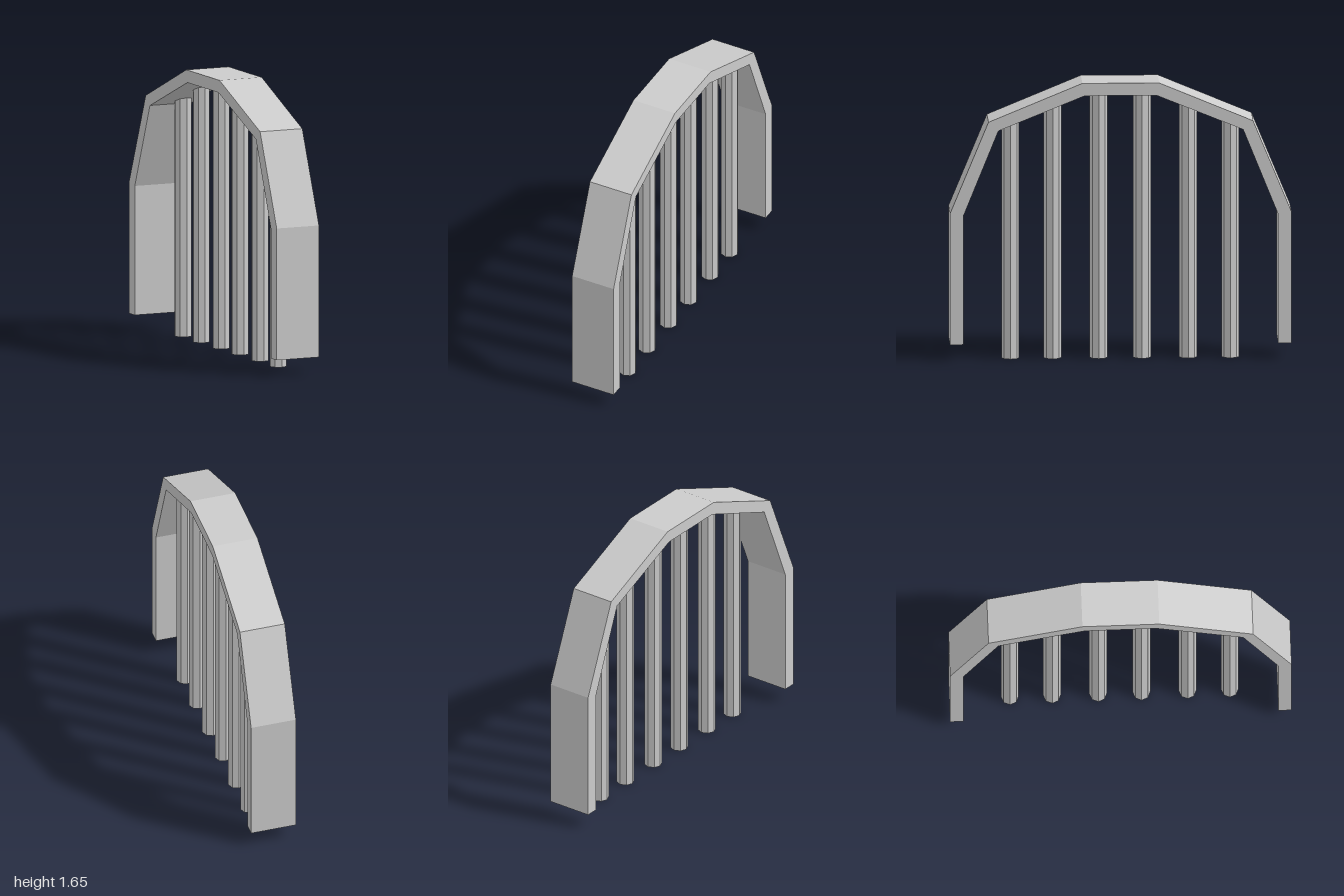
import * as THREE from 'three';

const WIDTH = 0.274;
const BAR_X = 0.043;
const BAR_RADIUS = 0.052;

// Half profiles of the arch as [z, y], from foot to crown
const OUTER = [[1, 0.096], [1, 0.876], [0.775, 1.418], [0.225, 1.646]];
const INNER = [[0.922, 0.096], [0.922, 0.861], [0.717, 1.366], [0.21, 1.572]];

const mirrored = (half) => [...half, ...half.map(([z, y]) => [-z, y]).reverse()];

// Height of the arch's underside at a given z
function undersideAt(z) {
  const a = Math.abs(z);
  const [z0, y0] = INNER[2];
  const [z1, y1] = INNER[3];
  return a <= z1 ? y1 : y1 + ((a - z1) / (z0 - z1)) * (y0 - y1);
}

export function createModel() {
  const model = new THREE.Group();
  model.name = 'archedGrille';
  const frameMaterial = new THREE.MeshStandardMaterial({ color: 0xcccccc, flatShading: true });
  const barMaterial = new THREE.MeshStandardMaterial({
    color: 0xcccccc, flatShading: true, side: THREE.DoubleSide,
  });

  // Faceted arch: profile drawn in (-z, y), extruded and turned to run along x
  const outline = [...mirrored(OUTER), ...mirrored(INNER).reverse()];
  const shape = new THREE.Shape(outline.map(([z, y]) => new THREE.Vector2(-z, y)));
  const archGeometry = new THREE.ExtrudeGeometry(shape, { depth: WIDTH, bevelEnabled: false });
  archGeometry.translate(0, 0, -WIDTH / 2).rotateY(Math.PI / 2);
  const arch = new THREE.Mesh(archGeometry, frameMaterial);
  arch.name = 'archFrame';
  model.add(arch);

  // Hollow eight-sided bars, their tops cut to meet the underside of the arch
  const bars = new THREE.Group();
  bars.name = 'bars';
  for (const z of [0.644, 0.397, 0.127, -0.127, -0.397, -0.644]) {
    const geometry = new THREE.CylinderGeometry(BAR_RADIUS, BAR_RADIUS, 1, 8, 1, true);
    geometry.translate(BAR_X, 0.5, z);
    const position = geometry.attributes.position;
    for (let i = 0; i < position.count; i++) {
      if (position.getY(i) > 0.5) position.setY(i, undersideAt(position.getZ(i)));
    }
    const bar = new THREE.Mesh(geometry, barMaterial);
    bar.name = 'bar';
    bars.add(bar);
  }
  model.add(bars);

  return model;
}
